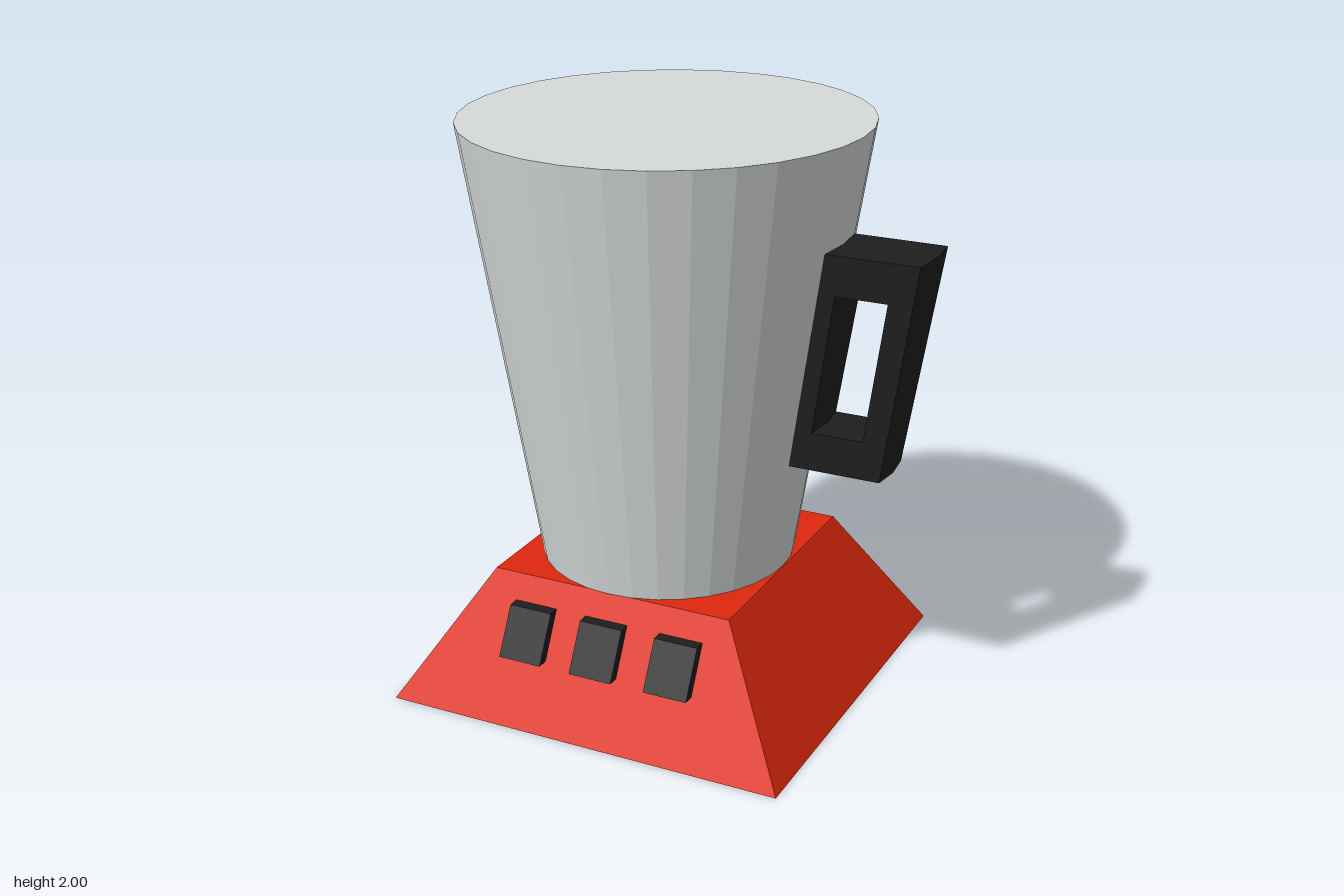
import * as THREE from 'three';

const CENTRE_X = -0.115; // axis of base and jug
const BASE_H = 0.46;

const red = new THREE.MeshStandardMaterial({ color: 0xe0280e, flatShading: true });
const black = new THREE.MeshStandardMaterial({ color: 0x1e1e1e, flatShading: true });
const silver = new THREE.MeshStandardMaterial({ color: 0xd6dbda, flatShading: true });

// Moves every vertex of a geometry by a rule
function warp(geometry, rule) {
  const pos = geometry.attributes.position;
  const v = new THREE.Vector3();
  for (let i = 0; i < pos.count; i++) {
    rule(v.fromBufferAttribute(pos, i));
    pos.setXYZ(i, v.x, v.y, v.z);
  }
  geometry.computeVertexNormals();
  return geometry;
}

function addPart(parent, name, geometry, material) {
  const mesh = new THREE.Mesh(geometry, material);
  mesh.name = name;
  parent.add(mesh);
  return mesh;
}

// Half depth of the base at height y
const baseHalfDepth = (y) => THREE.MathUtils.lerp(0.692, 0.448, y / BASE_H);

function makeBase() {
  const g = new THREE.BoxGeometry(2, BASE_H, 2).translate(0, BASE_H / 2, 0);
  return warp(g, (v) => {
    v.x = CENTRE_X + v.x * THREE.MathUtils.lerp(0.726, 0.443, v.y / BASE_H);
    v.z *= baseHalfDepth(v.y);
  });
}

// Button block sheared to lie along the sloping front
function makeButton(x) {
  const g = new THREE.BoxGeometry(0.158, 0.16, 0.06).translate(x, 0.298, 0.01);
  return warp(g, (v) => { v.z += baseHalfDepth(v.y); });
}

function loop(path, points) {
  points.forEach(([x, y], i) => (i ? path.lineTo(x, y) : path.moveTo(x, y)));
  path.closePath();
  return path;
}

// Slanted frame, narrowing downwards and bowed round the jug
function makeHandle() {
  const outline = loop(new THREE.Shape(), [[0.387, 0.885], [0.715, 0.885], [0.835, 1.645], [0.507, 1.645]]);
  outline.holes.push(loop(new THREE.Path(), [[0.475, 1.02], [0.55, 1.508], [0.73, 1.508], [0.655, 1.02]]));
  const g = new THREE.ExtrudeGeometry(outline, { depth: 2, steps: 2, bevelEnabled: false });
  g.translate(0, 0, -1);
  return warp(g, (v) => {
    v.x -= 0.011 * Math.abs(v.z);
    v.z *= THREE.MathUtils.mapLinear(v.y, 0.885, 1.645, 0.102, 0.127);
  });
}

export function createModel() {
  const model = new THREE.Group();
  model.name = 'blender';

  addPart(model, 'base', makeBase(), red);

  const buttons = new THREE.Group();
  buttons.name = 'buttons';
  [-0.377, -0.106, 0.174].forEach((x, i) => addPart(buttons, `button${i + 1}`, makeButton(x), black));
  model.add(buttons);

  // Closed jug, slightly oval in plan
  const jugHeight = 2 - BASE_H;
  const jug = addPart(model, 'jug', new THREE.CylinderGeometry(0.688, 0.441, jugHeight, 32), silver);
  jug.position.set(CENTRE_X, BASE_H + jugHeight / 2, 0);
  jug.scale.z = 1.033;

  addPart(model, 'handle', makeHandle(), black);
  return model;
}
